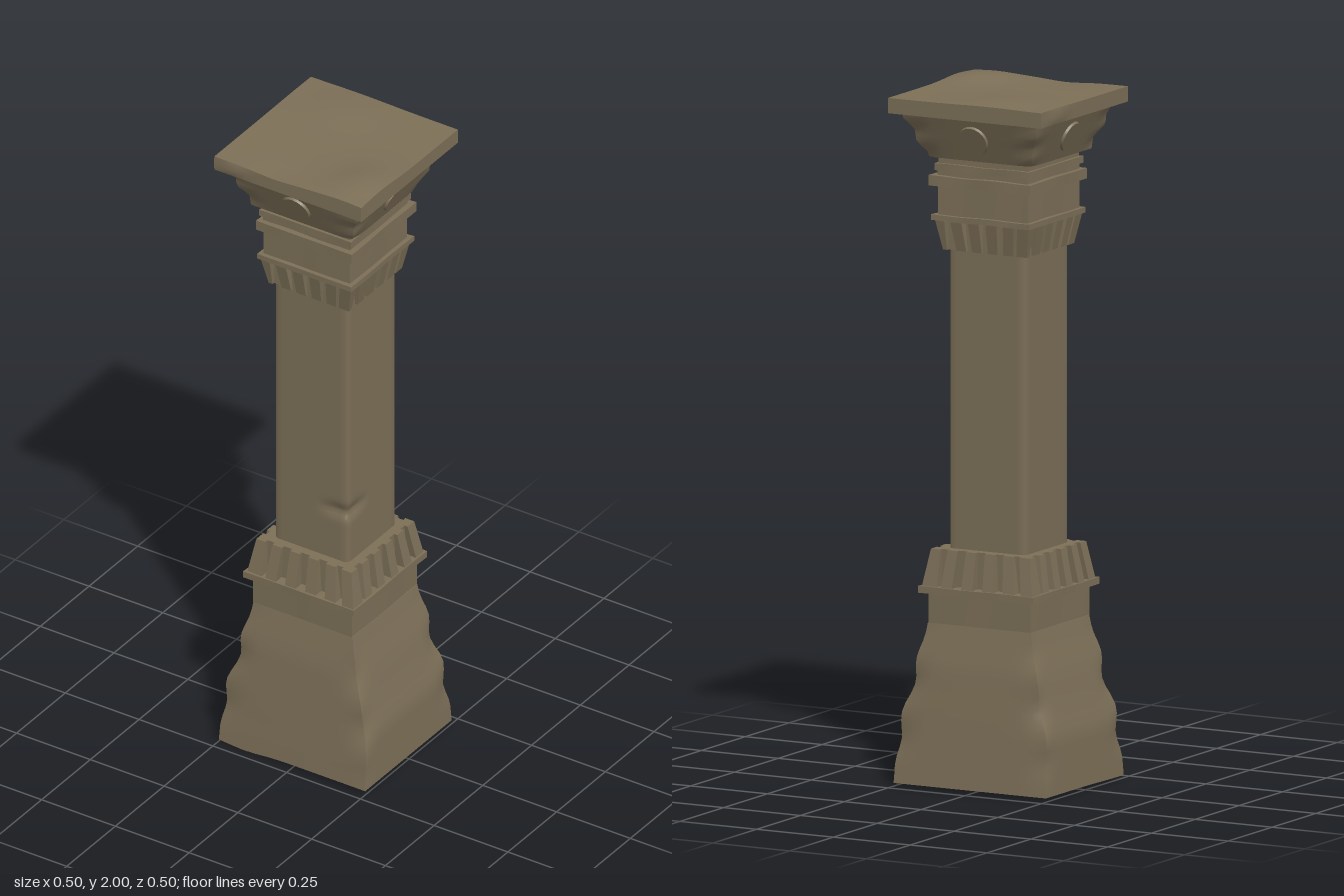
import * as THREE from 'three';

const stone = new THREE.MeshStandardMaterial({ color: 0x7d7058 });
stone.name = 'weathered stone';

// Linear lookup in rows of [y, halfX, halfZ]
function sample(rows, y, k) {
  for (let i = 1; i < rows.length; i++) {
    if (y <= rows[i][0]) {
      const a = rows[i - 1], b = rows[i];
      return a[k] + (b[k] - a[k]) * Math.max(0, (y - a[0]) / (b[0] - a[0]));
    }
  }
  return rows[rows.length - 1][k];
}

const bump = (v, centre, width) => Math.exp(-(((v - centre) / width) ** 2));

// Square block following a profile; sculpt(p, u, w) may move each point (u, w run -1..1)
function block(name, rows, segments, sculpt) {
  const y0 = rows[0][0], y1 = rows[rows.length - 1][0];
  const [sx, sy] = segments;
  const geo = new THREE.BoxGeometry(2, y1 - y0, 2, sx, sy, sx);
  geo.translate(0, (y0 + y1) / 2, 0);
  const pos = geo.attributes.position;
  const p = new THREE.Vector3();
  for (let i = 0; i < pos.count; i++) {
    p.fromBufferAttribute(pos, i);
    const u = p.x, w = p.z;
    p.x *= sample(rows, p.y, 1);
    p.z *= sample(rows, p.y, 2);
    if (sculpt) sculpt(p, u, w);
    pos.setXYZ(i, p.x, p.y, p.z);
  }
  geo.computeVertexNormals();
  const mesh = new THREE.Mesh(geo, stone);
  mesh.name = name;
  return mesh;
}

// Thin square moulding with slightly worn edges
function moulding(name, y0, y1, h0, h1 = h0, wear = 0.003) {
  return block(name, [[y0, h0, h0], [y1, h1, h1]], [8, 1], (p, u, w) => {
    const n = Math.sin(u * 5 + y0 * 40) * Math.sin(w * 4 + y0 * 23);
    p.x += u * n * wear;
    p.z += w * n * wear;
    p.y += n * wear * 0.6;
  });
}

// Square collar with tapered teeth round all four sides
function collar(name, y0, y1, core, out0, out1) {
  const group = new THREE.Group();
  group.name = name;
  group.add(block('collarCore', [[y0, core, core], [y1, core, core]], [1, 1]));
  const wide = Math.max(out0, out1);
  const place = (x, width, depthIn) => {
    const geo = new THREE.BoxGeometry(width, y1 - y0, 1);
    const pos = geo.attributes.position;
    for (let i = 0; i < pos.count; i++) {
      const out = pos.getY(i) < 0 ? out0 : out1;
      const px = (pos.getX(i) + x) * out / wide;
      pos.setXYZ(i, px, pos.getY(i) + (y0 + y1) / 2, pos.getZ(i) > 0 ? out : depthIn);
    }
    geo.computeVertexNormals();
    return geo;
  };
  for (let side = 0; side < 4; side++) {
    const teeth = [-0.56, -0.19, 0.19, 0.56].map((f) => place(f * wide, 0.036, core - 0.01));
    teeth.push(place(wide - 0.019, 0.038, out1 - 0.03));
    for (const geo of teeth) {
      const tooth = new THREE.Mesh(geo, stone);
      tooth.name = 'collarTooth';
      tooth.rotation.y = side * Math.PI / 2;
      group.add(tooth);
    }
  }
  return group;
}

export function createModel() {
  const model = new THREE.Group();
  model.name = 'stonePillar';

  // Flared foot with chipped corners and an uneven underside
  const footRows = [
    [0.01, 0.248, 0.222], [0.17, 0.243, 0.208], [0.25, 0.222, 0.2],
    [0.35, 0.2, 0.19], [0.42, 0.18, 0.176], [0.47, 0.168, 0.166],
  ];
  model.add(block('foot', footRows, [12, 18], (p, u, w) => {
    const corner = Math.abs(u * w) ** 8;
    const phase = (u > 0 ? 1 : 3) + (w > 0 ? 0 : 1.7);
    const fade = Math.sin(Math.PI * (p.y - 0.01) / 0.46);
    const chip = corner * fade * (0.007 + 0.007 * Math.sin(p.y * 38 + phase));
    p.x -= Math.sign(u) * chip;
    p.z -= Math.sign(w) * chip;
    if (p.y < 0.011) p.y -= 0.01 * bump(u, -0.65, 0.3) * bump(w, 0.8, 0.5);
  }));
  model.add(moulding('footNeck', 0.47, 0.558, 0.167, 0.167, 0.001));
  model.add(moulding('lowerLedge', 0.556, 0.576, 0.186));
  model.add(collar('lowerCollar', 0.575, 0.682, 0.15, 0.18, 0.161));

  // Shaft with softened corners and a notch in the front left edge
  const h = 0.125, r = 0.014;
  model.add(block('shaft', [[0.67, h, h], [1.56, h, h]], [18, 72], (p, u, w) => {
    const dx = Math.abs(p.x) - (h - r), dz = Math.abs(p.z) - (h - r);
    if (dx > 0 && dz > 0) {
      const len = Math.hypot(dx, dz);
      p.x = Math.sign(p.x) * (h - r + dx * r / len);
      p.z = Math.sign(p.z) * (h - r + dz * r / len);
    }
    const near = Math.max(0, Math.min(1, (Math.min(u, w) - 0.15) / 0.5));
    const dent = near * 0.011 * bump(p.y, 0.845, 0.018);
    if (w > 0.99) p.z -= dent;
    if (u > 0.99) p.x -= dent;
  }));

  // Stacked neck mouldings
  model.add(collar('upperCollar', 1.54, 1.628, 0.128, 0.136, 0.153));
  model.add(moulding('upperLedge', 1.626, 1.642, 0.159));
  model.add(moulding('neckBlock', 1.64, 1.726, 0.146, 0.146, 0.001));
  model.add(moulding('neckBand', 1.725, 1.755, 0.163));
  model.add(moulding('neckRecess', 1.753, 1.772, 0.147, 0.147, 0.001));
  model.add(moulding('neckTopBand', 1.77, 1.79, 0.155));
  model.add(moulding('capitalRecess', 1.788, 1.812, 0.146, 0.146, 0.001));

  // Flaring capital
  const capRows = [[1.81, 0.172, 0.172], [1.94, 0.225, 0.225]];
  model.add(block('capital', capRows, [10, 8], (p, u, w) => {
    const chip = Math.abs(u * w) ** 8 * 0.005 * (1 + Math.sin(p.y * 90 + u * 2 + w));
    p.x -= Math.sign(u) * chip;
    p.z -= Math.sign(w) * chip;
  }));

  // Round boss on each sloping face
  const slope = Math.atan2(0.053, 0.13);
  for (let side = 0; side < 4; side++) {
    const pivot = new THREE.Group();
    pivot.name = 'bossSide';
    pivot.rotation.y = side * Math.PI / 2;
    const boss = new THREE.Mesh(new THREE.CylinderGeometry(0.044, 0.048, 0.014, 20), stone);
    boss.name = 'boss';
    boss.position.set(0, 1.875, 0.199);
    boss.rotation.x = Math.PI / 2 + slope;
    pivot.add(boss);
    model.add(pivot);
  }

  // Slab on top, gently uneven with worn edges
  model.add(block('topSlab', [[1.94, 0.249, 0.248], [1.984, 0.249, 0.248]], [24, 2], (p, u, w) => {
    p.z -= 0.004;
    if (p.y > 1.98) {
      p.y += 0.016 * bump(u, 0.72, 0.35) * bump(w, 0.6, 0.4);
      p.y += 0.008 * bump(u, -0.3, 0.5) * bump(w, -0.6, 0.4);
      p.y -= 0.006 * bump(u, -0.2, 0.3) * bump(w, 1, 0.3);
    } else if (p.y > 1.95) {
      if (w > 0.99) p.z += 0.008 * bump(u, -0.74, 0.18);
      if (u < -0.99) p.x -= 0.006 * bump(w, -0.62, 0.25);
    }
  }));

  return model;
}
